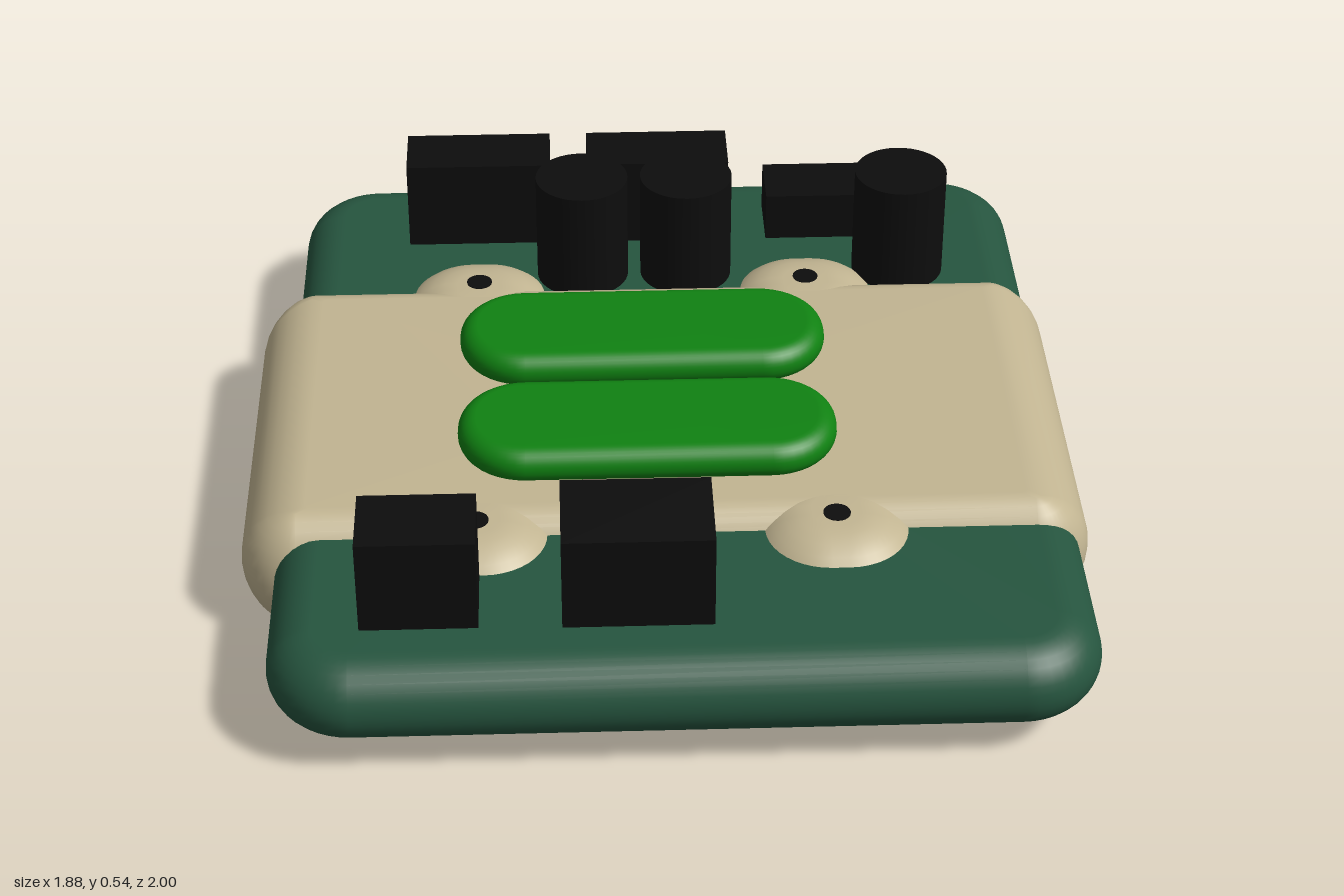
import * as THREE from 'three';

const tan = new THREE.MeshStandardMaterial({ color: 0xc2b592 });
const green = new THREE.MeshStandardMaterial({ color: 0x26553f });
const bright = new THREE.MeshStandardMaterial({ color: 0x108212 });
const black = new THREE.MeshStandardMaterial({ color: 0x0d0d0d });

// Rounded-rectangle slab with a rolled rim, lofted from inset rings.
// bx, bz: rim depth in plan; by: rim height; r: plan corner radius.
function slab([x0, x1], [y0, y1], [z0, z1], r, bx, by = bx, bz = bx) {
  const cx = (x0 + x1) / 2, cy = (y0 + y1) / 2, cz = (z0 + z1) / 2;
  const arc = 8, corner = 10, n = 4 * (corner + 1), pos = [], index = [];
  const rings = [];
  for (const s of [-1, 1]) {
    if (s === 1 && (y1 - y0) / 2 - by < 0.001) rings.pop();
    for (let i = 0; i <= arc; i++) {
      const a = (s < 0 ? i - arc : i) / arc * Math.PI / 2;
      rings.push([1 - Math.cos(a), cy + s * ((y1 - y0) / 2 - by) + by * Math.sin(a)]);
    }
  }
  for (const [k, y] of rings) {
    const hx = (x1 - x0) / 2 - k * bx, hz = (z1 - z0) / 2 - k * bz;
    const rr = Math.max(r - k * Math.max(bx, bz), 0.01);
    for (let q = 0; q < 4; q++) {
      const sx = q === 0 || q === 3 ? 1 : -1, sz = q < 2 ? 1 : -1;
      for (let i = 0; i <= corner; i++) {
        const t = (q + i / corner) * Math.PI / 2;
        pos.push(cx + sx * (hx - rr) + rr * Math.cos(t), y, cz + sz * (hz - rr) + rr * Math.sin(t));
      }
    }
  }
  const last = (rings.length - 1) * n, bottom = rings.length * n, top = bottom + 1;
  pos.push(cx, y0, cz, cx, y1, cz);
  for (let j = 0; j < n; j++) {
    const k = (j + 1) % n;
    for (let i = 0; i < last; i += n) {
      index.push(i + j, i + n + j, i + k, i + k, i + n + j, i + n + k);
    }
    index.push(bottom, j, k, top, last + k, last + j);
  }
  const g = new THREE.BufferGeometry();
  g.setAttribute('position', new THREE.Float32BufferAttribute(pos, 3));
  g.setIndex(index);
  g.computeVertexNormals();
  return g;
}

export function createModel() {
  const group = new THREE.Group();
  const add = (name, geometry, material) => {
    const mesh = new THREE.Mesh(geometry, material);
    mesh.name = name;
    group.add(mesh);
    return mesh;
  };

  // Circuit board and the housing wrapped around its middle
  add('board', slab([-0.86, 0.905], [0.07, 0.27], [-1, 1], 0.18, 0.1), green);
  add('housing', slab([-0.94, 0.935], [0, 0.31], [-0.475, 0.55], 0.13, 0.15, 0.155, 0.1), tan);

  // Four mounting lugs with dark screw holes
  for (const x of [-0.42, 0.365]) {
    for (const [z0, z1, holeZ] of [[-0.63, -0.22, -0.44], [0.29, 0.705, 0.51]]) {
      add('mountingLug', slab([x - 0.208, x + 0.208], [0, 0.31], [z0, z1], 0.19, 0.155), tan);
      add('screwHole', new THREE.CylinderGeometry(0.03, 0.03, 0.1, 20), black).position.set(x, 0.262, holeZ);
    }
  }

  // Rounded pads on top
  for (const z of [[-0.295, 0.02], [0.075, 0.39]]) {
    add('pad', slab([-0.46, 0.385], [0.305, 0.39], z, 0.15, 0.042), bright);
  }

  // Block components: x range, z range, top
  const blocks = [
    [-0.66, -0.41, 0.655, 0.83, 0.49], [-0.235, 0.085, 0.615, 0.835, 0.49],
    [-0.595, -0.245, -0.835, -0.68, 0.49], [-0.155, 0.19, -0.835, -0.68, 0.49],
    [0.285, 0.63, -0.835, -0.68, 0.39],
  ];
  for (const [x0, x1, z0, z1, top] of blocks) {
    add('connectorBlock', new THREE.BoxGeometry(x1 - x0, top - 0.25, z1 - z0), black)
      .position.set((x0 + x1) / 2, (top + 0.25) / 2, (z0 + z1) / 2);
  }

  // Cylindrical components
  for (const x of [-0.17, 0.08, 0.597]) {
    add('capacitor', new THREE.CylinderGeometry(0.11, 0.11, 0.34, 40), black).position.set(x, 0.37, -0.54);
  }
  return group;
}
